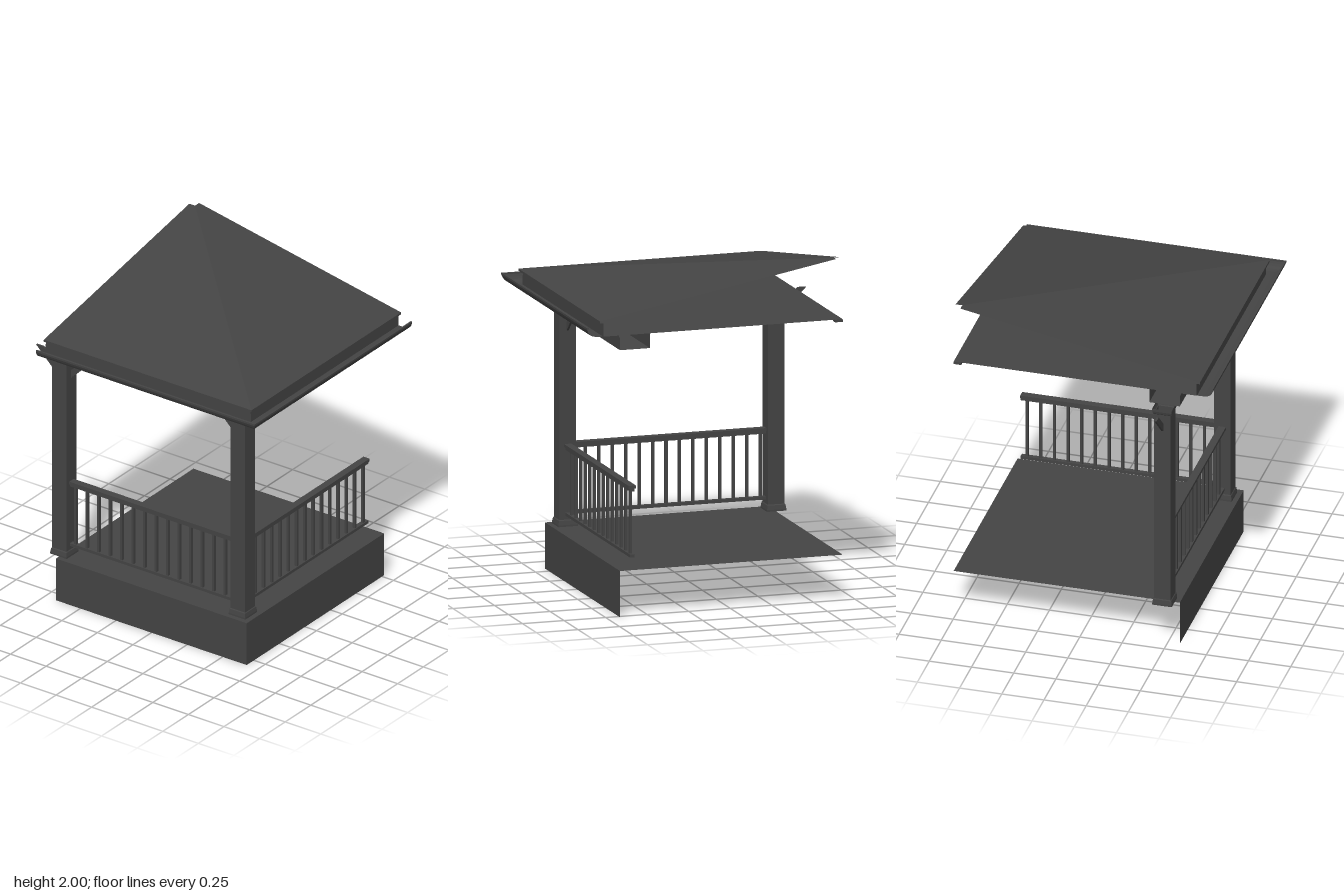
import * as THREE from 'three';

const material = new THREE.MeshStandardMaterial({ color: 0x444444, flatShading: true, side: THREE.DoubleSide });

// The cut ends of the porch corner, and the shift between its x and z offsets
const END_X = -0.67, END_Z = -0.77, SHIFT = 0.1;

function addMesh(parent, name, geometry, x = 0, y = 0, z = 0) {
  const mesh = new THREE.Mesh(geometry, material);
  mesh.name = name;
  mesh.position.set(x, y, z);
  parent.add(mesh);
  return mesh;
}

function box(parent, name, x0, x1, y0, y1, z0, z1) {
  return addMesh(parent, name, new THREE.BoxGeometry(x1 - x0, y1 - y0, z1 - z0),
    (x0 + x1) / 2, (y0 + y1) / 2, (z0 + z1) / 2);
}

// Sweeps a profile of [offset, height] along the front, round the mitred corner and back along the side
function cornerSweep(profile) {
  const rows = profile.map(([d, y]) => [
    [END_X, y, d - SHIFT], [d, y, d - SHIFT], [d, y, END_Z],
  ]);
  const positions = [];
  for (let i = 0; i < rows.length - 1; i++) {
    for (let j = 0; j < 2; j++) {
      const a = rows[i][j], b = rows[i][j + 1], c = rows[i + 1][j + 1], d = rows[i + 1][j];
      positions.push(...a, ...c, ...b, ...a, ...d, ...c);
    }
  }
  const geometry = new THREE.BufferGeometry();
  geometry.setAttribute('position', new THREE.Float32BufferAttribute(positions, 3));
  geometry.computeVertexNormals();
  return geometry;
}

// Hollow square post with a flared foot and capital, from [half width, height]
function columnGeometry() {
  const profile = [
    [0.058, 0.27], [0.058, 0.28], [0.054, 0.305], [0.05, 0.31],
    [0.05, 1.52], [0.054, 1.525], [0.058, 1.54], [0.058, 1.557],
  ].map(([h, y]) => new THREE.Vector2(h * Math.SQRT2, y));
  const geometry = new THREE.LatheGeometry(profile, 4, Math.PI / 4).toNonIndexed();
  geometry.computeVertexNormals();
  return geometry;
}

// Thin diagonal brace, rising along +x from the face of a post
function braceGeometry() {
  const shape = new THREE.Shape([
    [0, 1.415], [0.145, 1.557], [0.095, 1.557], [0, 1.465],
  ].map(([x, y]) => new THREE.Vector2(x, y)));
  const geometry = new THREE.ExtrudeGeometry(shape, { depth: 0.012, bevelEnabled: false });
  return geometry.translate(0, 0, -0.006);
}

// Railing running along +x from its start
function createRailing(name, length, firstBaluster) {
  const railing = new THREE.Group();
  railing.name = name;
  box(railing, 'handrailCap', 0, length, 0.735, 0.752, -0.022, 0.022);
  box(railing, 'handrail', 0, length, 0.718, 0.735, -0.014, 0.014);
  box(railing, 'bottomRail', 0, length, 0.333, 0.351, -0.014, 0.014);
  for (let i = 0; i < 14; i++) {
    const x = firstBaluster + i * 0.0808;
    box(railing, 'baluster', x - 0.008, x + 0.008, 0.351, 0.718, -0.008, 0.008);
  }
  return railing;
}

export function createModel() {
  const model = new THREE.Group();
  model.name = 'porchCorner';

  // Platform: floor and skirt, open underneath and at the cut sides
  addMesh(model, 'platform', cornerSweep([[END_X, 0.27], [0.67, 0.27], [0.67, 0]]));

  // Beam: boxed underside with a small moulding at the top of the outer face
  addMesh(model, 'beam', cornerSweep([
    [0.49, 1.645], [0.49, 1.56], [0.67, 1.56], [0.67, 1.63], [0.677, 1.635], [0.677, 1.645],
  ].reverse()));

  // Ceiling, soffit and fascia
  addMesh(model, 'ceiling', cornerSweep([[0.77, 1.722], [0.77, 1.646], [END_X, 1.646]].reverse()));

  // Small block under the ceiling at the cut corner
  box(model, 'ceilingBlock', END_X, END_X + 0.045, 1.63, 1.645, END_Z, END_Z + 0.045);

  // Hipped roof, notched at the peak, with a thin eave edge
  addMesh(model, 'roof', cornerSweep([
    [-0.63, 2], [0.79, 1.736], [0.79, 1.724], [0.77, 1.722],
  ]));

  // Open gutter with a rounded front and a rolled lip
  addMesh(model, 'gutter', cornerSweep([
    [0.857, 1.694], [0.857, 1.701], [0.867, 1.701], [0.867, 1.69], [0.861, 1.675],
    [0.853, 1.662], [0.838, 1.653], [0.815, 1.648], [0.772, 1.647], [0.772, 1.7],
  ]));

  // Posts
  const zPost = 0.482, xCorner = 0.58, xOuter = -0.675;
  addMesh(model, 'cornerPost', columnGeometry(), xCorner, 0, zPost);
  addMesh(model, 'endPost', columnGeometry(), xOuter, 0, zPost);

  // Braces: [x, z, turn about y]
  const braces = [
    [xOuter - 0.05, zPost, Math.PI],
    [xOuter + 0.05, zPost, 0],
    [xCorner - 0.05, zPost, Math.PI],
    [xCorner, zPost - 0.05, Math.PI / 2],
  ];
  for (const [x, z, turn] of braces) {
    addMesh(model, 'brace', braceGeometry(), x, 0, z).rotation.y = turn;
  }

  // Railings on the front and the side
  const front = createRailing('frontRailing', 1.155, 0.031);
  front.position.set(xOuter + 0.05, 0, zPost);
  const side = createRailing('sideRailing', 1.155, 0.069);
  side.position.set(xCorner, 0, zPost - 0.05);
  side.rotation.y = Math.PI / 2;
  model.add(front, side);

  return model;
}
